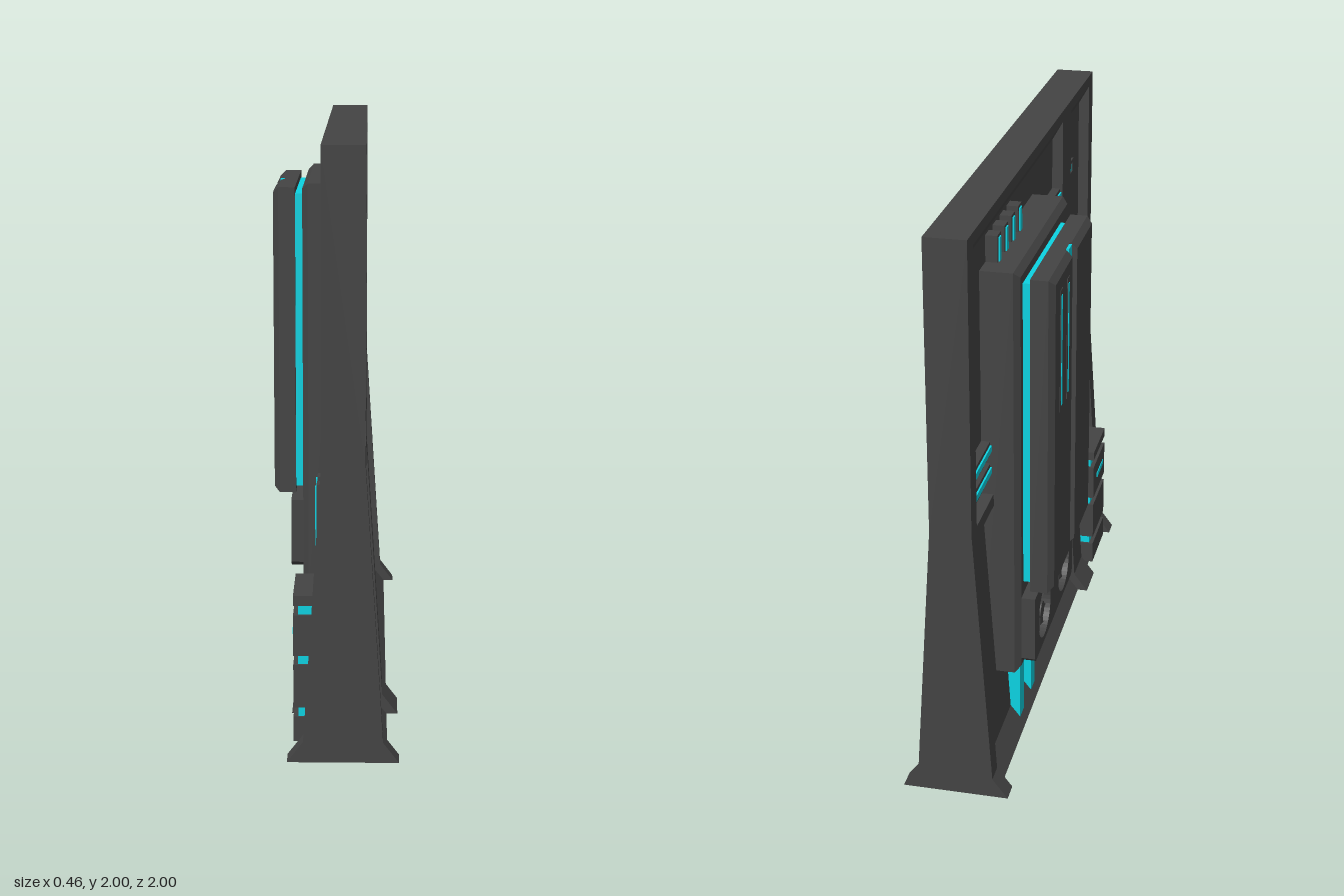
import * as THREE from 'three';

const dark = new THREE.MeshStandardMaterial({ color: 0x444444 });
const cyan = new THREE.MeshStandardMaterial({ color: 0x0cd3e2 });
const AXIS = 0.04; // x of the wall's middle plane

export function createModel() {
  const root = new THREE.Group();

  const add = (name, geo, mat = dark, parent = root) => {
    const m = new THREE.Mesh(geo, mat);
    m.name = name;
    parent.add(m);
    return m;
  };

  // Box between limits; its -x face shrinks by c (edges along z can be kept square)
  const slab = (name, x0, x1, y0, y1, z0, z1, mat = dark, c = 0, cz0 = c, cz1 = c) => {
    const geo = new THREE.BoxGeometry(x1 - x0, y1 - y0, z1 - z0);
    geo.translate((x0 + x1) / 2, (y0 + y1) / 2, (z0 + z1) / 2);
    if (c > 0) {
      // straight back part, then the bevelled front part
      slab(name + 'Base', x0 + c, x1, y0, y1, z0, z1, mat);
      const p = geo.attributes.position;
      for (let i = 0; i < p.count; i++) {
        if (p.getX(i) > x0 + 1e-5) { p.setX(i, x0 + c); continue; }
        p.setY(i, p.getY(i) < (y0 + y1) / 2 ? y0 + c : y1 - c);
        p.setZ(i, p.getZ(i) < (z0 + z1) / 2 ? z0 + cz0 : z1 - cz1);
      }
      geo.computeVertexNormals();
    }
    return add(name, geo, mat);
  };

  // Mirrored wall section [half width, height] extruded along z
  const section = (name, half, z0, z1) => {
    const pts = half.map(([w, y]) => new THREE.Vector2(AXIS + w, y));
    half.slice().reverse().forEach(([w, y]) => pts.push(new THREE.Vector2(AXIS - w, y)));
    const geo = new THREE.ExtrudeGeometry(new THREE.Shape(pts), { depth: z1 - z0, bevelEnabled: false });
    add(name, geo.translate(0, 0, z0));
  };

  // Wall: full-depth ribs and recessed panels with sloped headers
  const rib = [[0.183, 0], [0.13, 0.07], [0.07, 1], [0.07, 2]];
  const panel = [[0.145, 0], [0.09, 0.07], [0.036, 0.89], [0.072, 0.96], [0.07, 1],
    [0.03, 1], [0.03, 1.89], [0.07, 1.96], [0.07, 2]];
  [[-1, -0.93], [0.425, 0.575], [0.93, 1]].forEach(([a, b]) => section('wallRib', rib, a, b));
  [[-0.93, 0.425], [0.575, 0.93]].forEach(([a, b]) => section('wallPanel', panel, a, b));

  // Small lit port on both faces
  for (const s of [-1, 1]) {
    const bar = (name, d, y0, y1, z0, z1, mat) => {
      const a = AXIS + s * 0.025, b = AXIS + s * d;
      slab(name, Math.min(a, b), Math.max(a, b), y0, y1, z0, z1, mat);
    };
    bar('portLight', 0.032, 1.66, 1.7, 0.72, 0.78, cyan);
    bar('portFrame', 0.037, 1.65, 1.662, 0.705, 0.795);
    bar('portFrame', 0.037, 1.698, 1.71, 0.705, 0.795);
    bar('portFrame', 0.037, 1.662, 1.698, 0.705, 0.722);
    bar('portFrame', 0.037, 1.662, 1.698, 0.778, 0.795);
  }

  // Main unit: back plate, glowing layer, grooved cover
  slab('backPlate', -0.12, 0.02, 0.31, 1.79, -0.7, 0.085, dark, 0.02);
  slab('glowLayer', -0.155, -0.115, 0.65, 1.74, -0.65, -0.05, cyan);
  slab('coverLeft', -0.23, -0.15, 0.63, 1.765, -0.68, -0.39, dark, 0.02, 0.02, 0);
  slab('coverRight', -0.23, -0.15, 0.63, 1.765, -0.31, -0.03, dark, 0.02, 0, 0.02);
  slab('coverGroove', -0.205, -0.15, 0.63, 1.765, -0.39, -0.31);
  slab('coverStripe', -0.215, -0.2, 0.63, 1.765, -0.375, -0.325, cyan);
  for (const z of [-0.57, -0.46]) {
    slab('slotFrame', -0.232, -0.22, 1.27, 1.7, z - 0.018, z + 0.018);
    slab('slotLight', -0.234, -0.22, 1.29, 1.68, z - 0.006, z + 0.006, cyan);
  }

  // Fan box with two round openings
  const fanZ = [-0.52, -0.19], fanY = 0.468, fanR = 0.1;
  const face = new THREE.Shape([[-0.68, 0.36], [-0.665, 0.345], [-0.045, 0.345], [-0.03, 0.36],
    [-0.03, 0.6], [-0.68, 0.6]].map(([z, y]) => new THREE.Vector2(z, y)));
  fanZ.forEach((z) => face.holes.push(new THREE.Path().absarc(z, fanY, fanR, 0, Math.PI * 2, true)));
  const boxGeo = new THREE.ExtrudeGeometry(face, { depth: 0.055, bevelEnabled: false, curveSegments: 20 });
  add('fanBox', boxGeo.rotateY(-Math.PI / 2).translate(-0.113, 0, 0));
  for (const z of fanZ) {
    const fan = new THREE.Group();
    fan.name = 'fan';
    fan.position.set(-0.14, fanY, z);
    root.add(fan);
    const glow = add('fanGlow', new THREE.CylinderGeometry(0.098, 0.098, 0.008, 24), cyan, fan);
    glow.rotation.z = Math.PI / 2;
    glow.position.x = 0.017;
    const hub = add('fanHub', new THREE.CylinderGeometry(0.03, 0.03, 0.04, 16), dark, fan);
    hub.rotation.z = Math.PI / 2;
    for (let i = 0; i < 9; i++) {
      const arm = new THREE.Group();
      arm.rotation.x = (i / 9) * Math.PI * 2;
      fan.add(arm);
      const blade = add('fanBlade', new THREE.BoxGeometry(0.006, 0.07, 0.044), dark, arm);
      blade.position.y = 0.06;
      blade.rotation.y = 0.45;
    }
  }

  // Glowing feet under the main unit
  for (const z of [-0.52, -0.34]) slab('lowerConduit', -0.085, -0.01, 0.02, 0.33, z - 0.03, z + 0.03, cyan);

  // Straight dark conduits with a glowing core line
  const upright = (z, y0, y1, x) => {
    slab('conduit', x, 0.02, y0, y1, z - 0.026, z + 0.026);
    slab('conduitLight', x - 0.005, 0.01, y0, y1 - 0.01, z - 0.012, z + 0.012, cyan);
  };
  [-0.59, -0.49, -0.39, -0.29].forEach((z) => upright(z, 1.75, 1.88, -0.03));
  [0.67, 0.77].forEach((z) => upright(z, 0.48, 0.88, -0.05));
  const level = (y, z0, z1) => {
    slab('crossConduit', -0.02, 0.02, y - 0.024, y + 0.024, z0, z1);
    slab('crossConduitLight', -0.026, 0, y - 0.011, y + 0.011, z0, z1, cyan);
  };
  level(1.17, -0.94, -0.69);
  level(1.09, -0.94, -0.69);
  level(1.68, 0.07, 0.44);

  // Bent hoses between main unit and rib, points are [y, z]
  const hose = (x, pts) => {
    const path = (dx) => new THREE.CatmullRomCurve3(pts.map(([y, z]) => new THREE.Vector3(x + dx, y, z)));
    add('hose', new THREE.TubeGeometry(path(0), 32, 0.024, 8));
    add('hoseLight', new THREE.TubeGeometry(path(-0.018), 32, 0.011, 6), cyan);
  };
  hose(-0.01, [[1.56, 0.07], [1.56, 0.2], [1.5, 0.28], [1.36, 0.29], [1.28, 0.34], [1.26, 0.44]]);
  hose(-0.01, [[1.34, 0.07], [1.33, 0.15], [1.24, 0.21], [1.17, 0.29], [1.15, 0.44]]);
  hose(-0.01, [[1.16, 0.07], [1.13, 0.18], [1.07, 0.3], [1.06, 0.44]]);
  hose(-0.03, [[0.79, 0.44], [0.77, 0.35], [0.68, 0.28], [0.5, 0.27], [0.38, 0.24], [0.33, 0.16], [0.33, 0.07]]);

  // Low cabinet: stacked blocks with light bands between them
  slab('cabinetCore', -0.1, 0.02, 0.02, 0.5, 0.645, 0.855);
  [[0.02, 0.105], [0.137, 0.287], [0.318, 0.458], [0.49, 0.525]]
    .forEach(([a, b]) => slab('cabinetBlock', -0.126, 0, a, b, 0.63, 0.87));
  [0.121, 0.302, 0.474].forEach((y) => slab('cabinetLight', -0.11, 0, y - 0.016, y + 0.016, 0.638, 0.862, cyan));
  slab('cabinetShortLight', -0.129, -0.12, 0.38, 0.4, 0.7, 0.83, cyan);

  return root;
}
